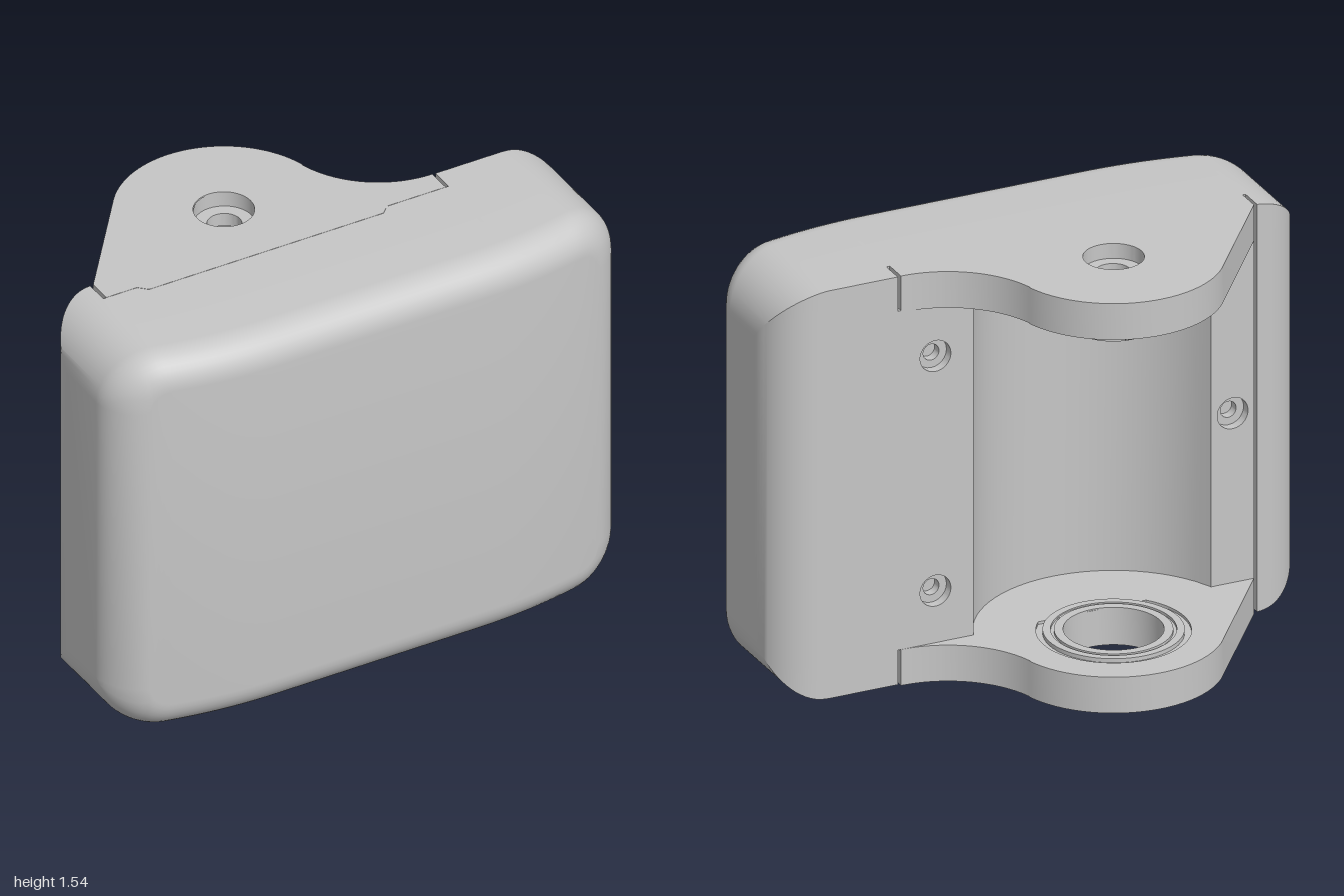
import * as THREE from 'three';
import { toCreasedNormals } from 'three/addons/utils/BufferGeometryUtils.js';

const grey = new THREE.MeshStandardMaterial({ color: 0xc6c6c6 });
grey.name = 'plain grey';

const MID = 0.7705, HALF = 0.7645;     // body centre height and half height
const CORNER = 0.2, FILLET = 0.12;     // outline corner and front edge radii
const BACK = -0.02, PIVOT = -0.19;     // back plane; pivot axis sits at x = z = PIVOT
const BARREL = 0.48, INNER = 0.6355;   // hollow radius, half height between the lugs

function add(parent, name, geometry, x = 0, y = 0, z = 0) {
  const mesh = new THREE.Mesh(toCreasedNormals(geometry, 0.5), grey);
  mesh.name = name;
  mesh.position.set(x, y, z);
  parent.add(mesh);
  return mesh;
}

function lathe(profile, segments = 48) {
  return new THREE.LatheGeometry(profile.map(([r, y]) => new THREE.Vector2(r, y)), segments);
}

function hole(shape, x, y, r) {
  shape.holes.push(new THREE.Path().absarc(x, y, r, 0, Math.PI * 2, true));
}

// Horizontal slab from a shape drawn in (x, -z)
function slab(shape, y, height) {
  return new THREE.ExtrudeGeometry(shape, { depth: height, bevelEnabled: false, curveSegments: 32 })
    .rotateX(-Math.PI / 2).translate(0, y, 0);
}

const safeRoot = (v) => Math.sqrt(Math.max(0, v));

// Half height of the rounded outline at x, inset by d
function halfHeight(x, d) {
  const over = Math.max(0, Math.abs(x) - (1 - CORNER));
  return HALF - CORNER + safeRoot((CORNER - d) ** 2 - over ** 2);
}

// Closed section of the body at x, as [z, y] pairs
function section(x, kind) {
  const ax = Math.min(1, Math.abs(x));
  const front = 0.567 - 0.28 * Math.max(0, ax - 0.4) ** 2;
  let back = BACK + 0.17 - safeRoot(0.17 ** 2 - Math.max(0, ax - 0.83) ** 2);
  let inner = back;
  if (kind === 'groove') inner = back = 0.07;
  if (kind === 'notch') back = 0.07;
  if (kind === 'flange') inner = 0.05;
  if (kind === 'barrel') inner = PIVOT + Math.sqrt(BARREL ** 2 - (x - PIVOT) ** 2);
  const h = halfHeight(x, 0), clip = Math.min(h, INNER);
  const top = [[inner, clip], [back, clip], [back, h]];
  const maxInset = Math.min(FILLET, 1 - ax);
  const end = Math.acos(1 - maxInset / FILLET);
  for (let i = 0; i <= 10; i++) {
    const a = end * i / 10, d = FILLET * (1 - Math.cos(a));
    top.push([front - FILLET + FILLET * Math.sin(a), halfHeight(x, d)]);
  }
  return [...top, ...top.slice().reverse().map(([z, y]) => [z, -y])];
}

function bodyGeometry() {
  const spans = [
    [-1, -0.812, 'rim', 20], [-0.812, -0.8, 'groove', 1], [-0.8, -0.6375, 'flange', 3],
    [-0.6375, 0.2575, 'barrel', 32], [0.2575, 0.53, 'flange', 4],
    [0.53, 0.542, 'notch', 1], [0.542, 1, 'rim', 28],
  ];
  const loops = [];
  for (const [x0, x1, kind, n] of spans) {
    for (let i = 0; i <= n; i++) {
      let t = i / n;
      if (x0 === -1) t = t * t;               // finer towards the rounded ends
      if (x1 === 1) t = 1 - (1 - t) ** 2;
      const x = x0 + (x1 - x0) * t;
      loops.push(section(x, kind).map(([z, y]) => new THREE.Vector3(x, MID + y, z)));
    }
  }
  const out = [];
  const tri = (a, b, c) => {
    const area = b.clone().sub(a).cross(c.clone().sub(a)).length();
    if (area > 1e-9) for (const p of [a, b, c]) out.push(p.x, p.y, p.z);
  };
  const count = loops[0].length;
  for (let i = 0; i < loops.length - 1; i++) {
    for (let j = 0; j < count; j++) {
      const k = (j + 1) % count, p = loops[i], q = loops[i + 1];
      tri(p[j], p[k], q[j]);
      tri(p[k], q[k], q[j]);
    }
  }
  // Flat end faces
  const first = loops[0], last = loops[loops.length - 1];
  for (let j = 1; j < count - 1; j++) {
    tri(last[0], last[j], last[j + 1]);
    tri(first[0], first[j + 1], first[j]);
  }
  const geometry = new THREE.BufferGeometry();
  geometry.setAttribute('position', new THREE.Float32BufferAttribute(out, 3));
  return geometry;
}

// Lug outline: round nose, straight left flank, concave right flank, tongue in the body
function lugShape(bore) {
  const s = new THREE.Shape();
  s.moveTo(-0.8, -0.07);
  s.lineTo(-0.68, -0.07);
  s.lineTo(-0.65, -0.1);
  s.lineTo(0.27, -0.1);
  s.lineTo(0.3, -0.07);
  s.lineTo(0.53, -0.07);
  s.lineTo(0.53, 0.02);
  const join = Math.atan2(0.2, 0.72);
  s.absarc(0.53, 0.39, 0.37, -Math.PI / 2, -Math.PI + join, true);
  s.absarc(PIVOT, -PIVOT, 0.38, join, Math.PI - Math.atan2(0.22, 0.31), false);
  s.lineTo(-0.8, 0.02);
  s.closePath();
  hole(s, PIVOT, -PIVOT, bore);
  return s;
}

// Plus-shaped key with scooped inner corners
function keyShape() {
  const s = new THREE.Shape(), w = 0.085, reach = 0.275, root = 0.2;
  for (let i = 0; i < 4; i++) {
    const turn = (x, y) => {
      const v = new THREE.Vector2(x, y).rotateAround(new THREE.Vector2(), i * Math.PI / 2);
      return [v.x, v.y];
    };
    if (i === 0) s.moveTo(...turn(reach, -w));
    else s.lineTo(...turn(reach, -w));
    s.lineTo(...turn(reach, w));
    s.lineTo(...turn(root, w));
    s.quadraticCurveTo(...turn(0.11, 0.11), ...turn(w, root));
  }
  s.closePath();
  hole(s, 0, 0, 0.12);
  return s;
}

export function createModel() {
  const model = new THREE.Group();
  model.name = 'pivotBracket';
  add(model, 'body', bodyGeometry());

  // Upper lug with stepped boss and key
  add(model, 'upperLug', slab(lugShape(0.105), 1.4, 0.136));
  add(model, 'upperBoss', lathe([
    [0.105, 1.536], [0.105, 1.48], [0.06, 1.48], [0.06, 1.43], [0.1, 1.43],
    [0.1, 1.285], [0.15, 1.285], [0.15, 1.4],
  ]), PIVOT, 0, PIVOT + 0.004);
  add(model, 'crossKey', slab(keyShape(), 1.353, 0.05), PIVOT, 0, PIVOT);

  // Lower lug with ringed bearing
  add(model, 'lowerLug', slab(lugShape(0.265), 0, 0.135));
  add(model, 'bearing', lathe([
    [0.265, 0.125], [0.242, 0.125], [0.242, 0.14], [0.215, 0.14], [0.215, 0.13], [0.203, 0.13],
    [0.203, 0.14], [0.172, 0.14], [0.172, 0], [0.203, 0], [0.203, 0.01], [0.215, 0.01],
    [0.215, 0], [0.242, 0], [0.242, 0.01], [0.265, 0.01],
  ], 64), PIVOT, 0, PIVOT);

  // Screw flanges either side of the hollow
  const flanges = [
    ['leftFlange', 0.2575, 0.53, [[0.4, 0.33], [0.4, 1.21]]],
    ['rightFlange', -0.8, -0.6375, [[-0.72, 0.77]]],
  ];
  for (const [name, x0, x1, screws] of flanges) {
    const s = new THREE.Shape();
    s.moveTo(x0, MID - INNER);
    s.lineTo(x1, MID - INNER);
    s.lineTo(x1, MID + INNER);
    s.lineTo(x0, MID + INNER);
    s.closePath();
    for (const [x, y] of screws) {
      hole(s, x, y, 0.058);
      add(model, 'screwSeat', lathe([[0.058, -0.035], [0.03, -0.035], [0.03, -0.07]], 24)
        .rotateX(-Math.PI / 2), x, y, BACK);
    }
    add(model, name, new THREE.ExtrudeGeometry(s, { depth: 0.07, bevelEnabled: false, curveSegments: 24 }), 0, 0, BACK);
  }
  return model;
}
